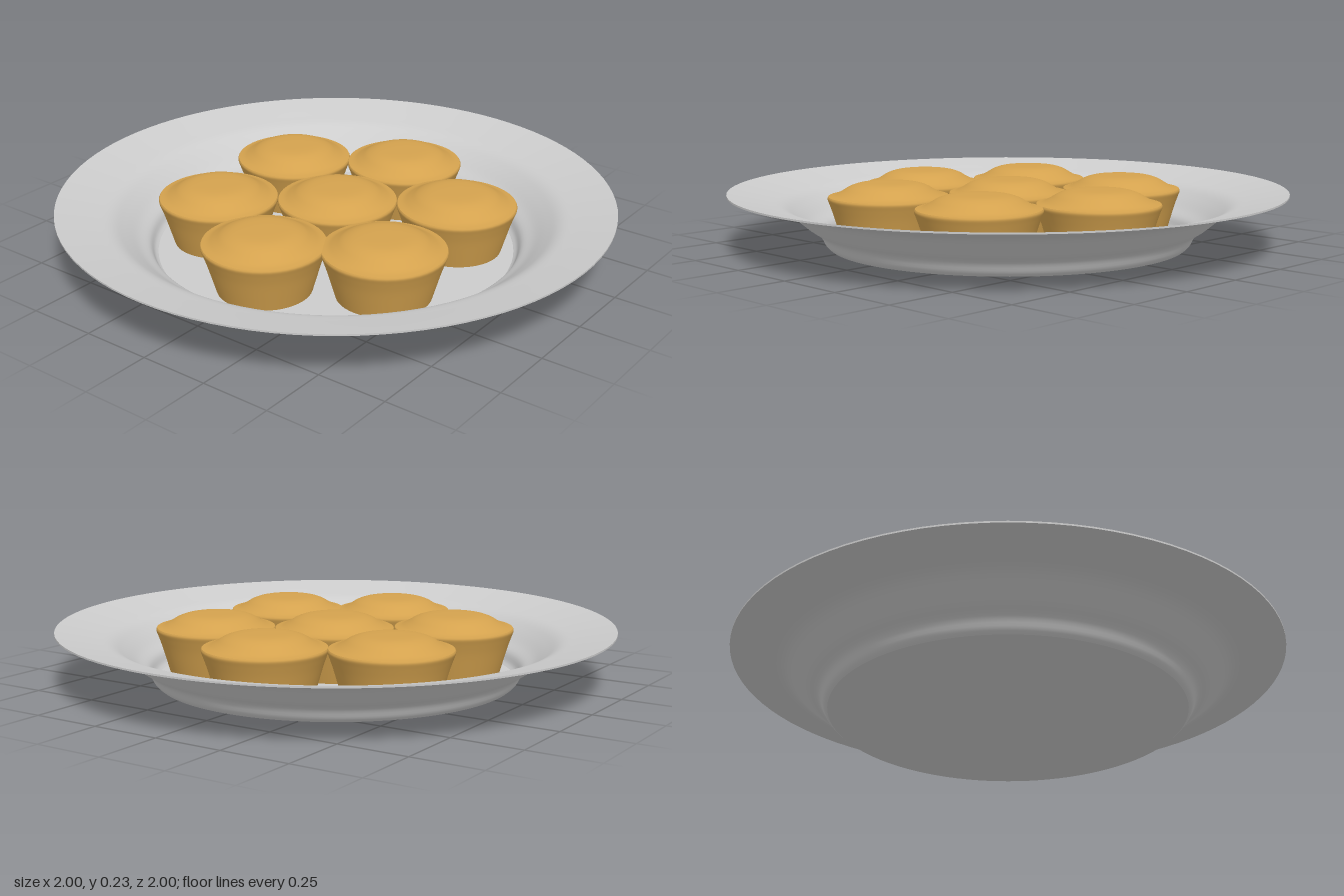
import * as THREE from 'three';
import { mergeGeometries } from 'three/addons/utils/BufferGeometryUtils.js';

const v = (p) => new THREE.Vector2(p[0], p[1]);

// Revolves several profile sections; each is smooth inside and creased where it meets the next
function revolve(sections, segments) {
  return mergeGeometries(sections.map((s) => {
    const pts = s.length > 2
      ? new THREE.SplineCurve(s.map(v)).getPoints((s.length - 1) * 4)
      : s.map(v);
    return new THREE.LatheGeometry(pts, segments);
  }));
}

export function createModel() {
  const model = new THREE.Group();
  model.name = 'plateOfCakes';

  const ceramic = new THREE.MeshStandardMaterial({ color: 0xcccccc });
  ceramic.name = 'greyCeramic';
  const sponge = new THREE.MeshStandardMaterial({ color: 0xd4a24e });
  sponge.name = 'goldenSponge';

  // Plate: base, outer wall, thin rim, inner wall, floor
  const plate = new THREE.Mesh(revolve([
    [[0, 0], [0.645, 0]],
    [[0.645, 0], [0.66, 0.015], [0.68, 0.05], [0.72, 0.078], [0.765, 0.115], [0.81, 0.147], [0.87, 0.165], [1, 0.195]],
    [[1, 0.195], [1, 0.201]],
    [[1, 0.201], [0.87, 0.172], [0.805, 0.155], [0.758, 0.123], [0.713, 0.085], [0.674, 0.057], [0.658, 0.025], [0.645, 0.012]],
    [[0.645, 0.012], [0, 0.012]],
  ], 96), ceramic);
  plate.name = 'plate';
  model.add(plate);

  // Cakes: tapered cup with a rounded shoulder and a low flat dome
  const cakeGeometry = revolve([
    [[0, 0.013], [0.165, 0.013]],
    [[0.165, 0.013], [0.18, 0.065], [0.196, 0.12], [0.209, 0.158], [0.216, 0.178], [0.213, 0.187]],
    [[0.213, 0.187], [0.19, 0.192], [0.165, 0.205], [0.135, 0.222], [0.09, 0.233], [0, 0.235]],
  ], 48);
  const spots = [
    [0.005, 0.003], [-0.43, 0.02], [0.433, 0], [-0.235, -0.355],
    [0.222, -0.37], [-0.225, 0.373], [0.228, 0.37],
  ];
  spots.forEach(([x, z], i) => {
    const cake = new THREE.Mesh(cakeGeometry, sponge);
    cake.name = `cake${i + 1}`;
    cake.position.set(x, 0, z);
    model.add(cake);
  });

  return model;
}
